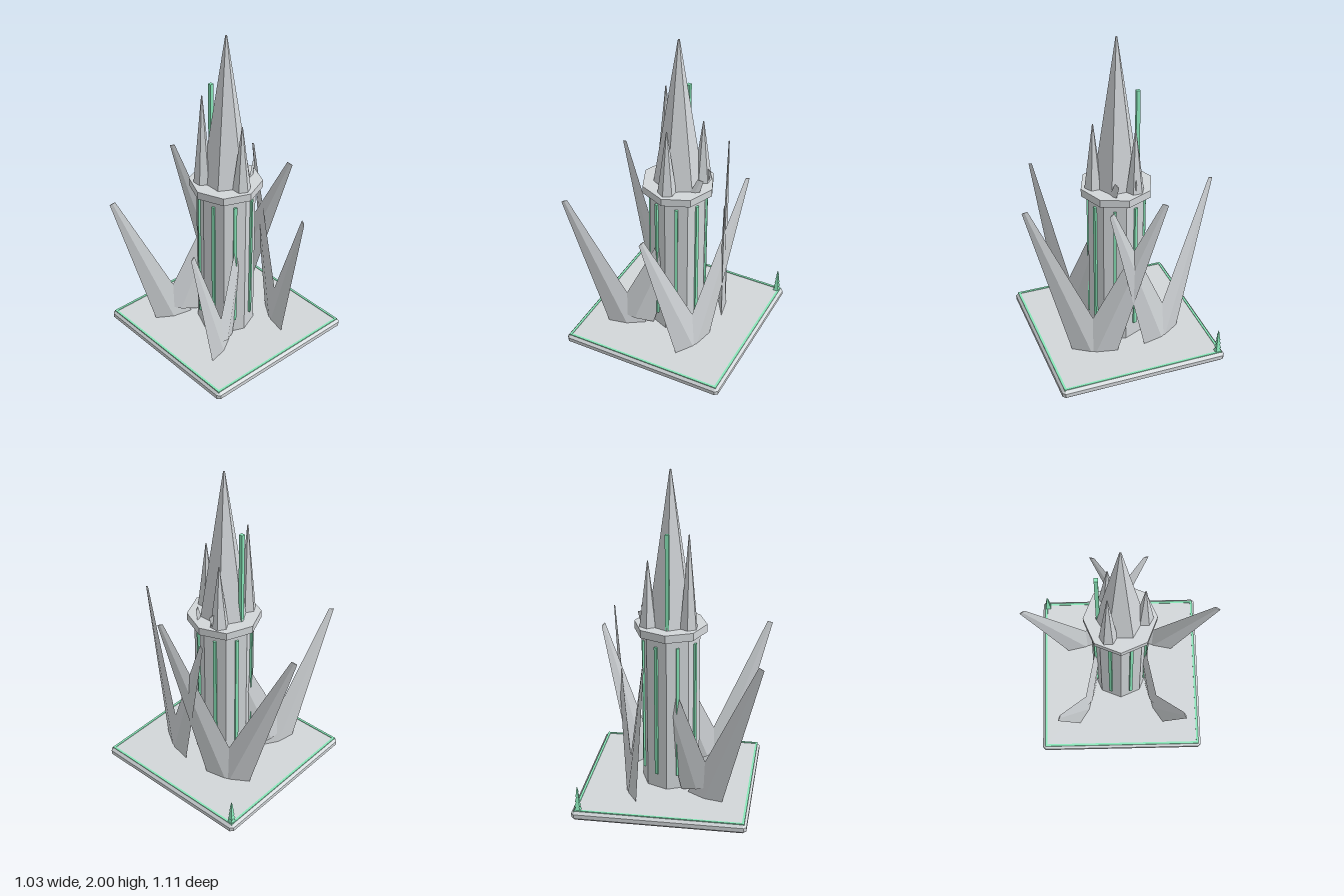
import * as THREE from 'three';

const CX = 0.03; // tower axis

export function createModel() {
  const model = new THREE.Group();
  model.name = 'crystalTower';
  const stone = new THREE.MeshStandardMaterial({ color: 0xd2d6d9 });
  stone.name = 'pale grey stone';
  const glow = new THREE.MeshStandardMaterial({ color: 0x8eeebf });
  glow.name = 'mint green';

  // Adds a faceted mesh
  const add = (parent, name, geometry, material, x = 0, y = 0, z = 0) => {
    const flat = geometry.index ? geometry.toNonIndexed() : geometry;
    flat.computeVertexNormals();
    const mesh = new THREE.Mesh(flat, material);
    mesh.name = name;
    mesh.position.set(x, y, z);
    parent.add(mesh);
    return mesh;
  };
  // Faceted taper standing on its base
  const taper = (rTop, rBottom, h, sides) =>
    new THREE.CylinderGeometry(rTop, rBottom, h, sides).translate(0, h / 2, 0);

  // Chamfered base slab
  const a = 0.472, b = 0.465;
  const outline = new THREE.Shape([
    [-a, -b], [-b, -a], [b, -a], [a, -b], [a, b], [b, a], [-b, a], [-a, b],
  ].map(([x, y]) => new THREE.Vector2(x, y)));
  const slab = new THREE.ExtrudeGeometry(outline, {
    depth: 0.024, bevelEnabled: true, bevelSize: 0.015, bevelThickness: 0.015, bevelSegments: 1,
  }).rotateX(-Math.PI / 2);
  add(model, 'baseSlab', slab, stone, CX + 0.001, 0.137, 0);

  // Thin inlaid border on the slab
  for (const s of [-1, 1]) {
    add(model, 'borderStrip', new THREE.BoxGeometry(0.946, 0.008, 0.013), glow, CX, 0.176, s * 0.4665);
    add(model, 'borderStrip', new THREE.BoxGeometry(0.013, 0.008, 0.92), glow, CX + s * 0.4665, 0.176, 0);
  }

  // Octagonal tower and collar
  add(model, 'towerShaft', taper(0.165, 0.165, 0.93, 8), stone, CX, 0.17, 0);
  add(model, 'collar', taper(0.205, 0.205, 0.045, 8), stone, CX, 1.098, 0);

  // Light strips on the tower faces
  for (let i = 0; i < 8; i++) {
    const t = (i + 0.5) * Math.PI / 4;
    const strip = add(model, 'lightStrip', new THREE.BoxGeometry(0.018, 0.786, 0.02), glow,
      CX + Math.sin(t) * 0.154, 0.656, Math.cos(t) * 0.154);
    strip.rotation.y = t;
  }

  // Spires and mast
  add(model, 'mainSpire', taper(0.005, 0.136, 0.857, 6), stone, CX, 1.143, 0);
  for (const [x, z, top] of [[-0.08, -0.068, 1.67], [0.145, -0.066, 1.515], [0.027, 0.132, 1.525]])
    add(model, 'sideSpire', taper(0.003, 0.051, top - 1.143, 6), stone, x, 1.143, z);
  add(model, 'mast', new THREE.BoxGeometry(0.021, 0.54, 0.021), glow, CX, 1.411, -0.122);

  // Four pairs of flattened diamond shards, each pair splayed into a V
  const tilt = 0.358;
  const pairs = [
    { x: -0.155, z: 0.197, turn: Math.PI / 8, outerY: 0.044, innerY: 0.222 },
    { x: 0.2335, z: 0.195, turn: 3 * Math.PI / 8, outerY: 0.1, innerY: 0.17 },
  ];
  for (const p of pairs) for (const s of [-1, 1]) {
    const pair = new THREE.Group();
    pair.name = 'shardPair';
    pair.position.set(p.x, 0, s * p.z);
    pair.rotation.y = s * p.turn;
    model.add(pair);
    for (const [name, y, dir] of [['outerShard', p.outerY, 1], ['innerShard', p.innerY, -1]]) {
      const shard = add(pair, name, taper(0.017, 0.117, 1.067, 4).scale(1, 1, 0.19), stone, 0, y, 0);
      shard.rotation.z = dir * tilt;
    }
  }

  // Small tiered tree in the back corner
  const tree = new THREE.Group();
  tree.name = 'tree';
  tree.position.set(0.483, 0.174, -0.455);
  model.add(tree);
  for (let i = 0; i < 5; i++) {
    const r = 0.025 - i * 0.004;
    add(tree, 'treeTier', taper(i < 4 ? r * 0.4 : 0.001, r, 0.032, 4).rotateY(Math.PI / 4), glow, 0, i * 0.029, 0);
  }
  return model;
}
